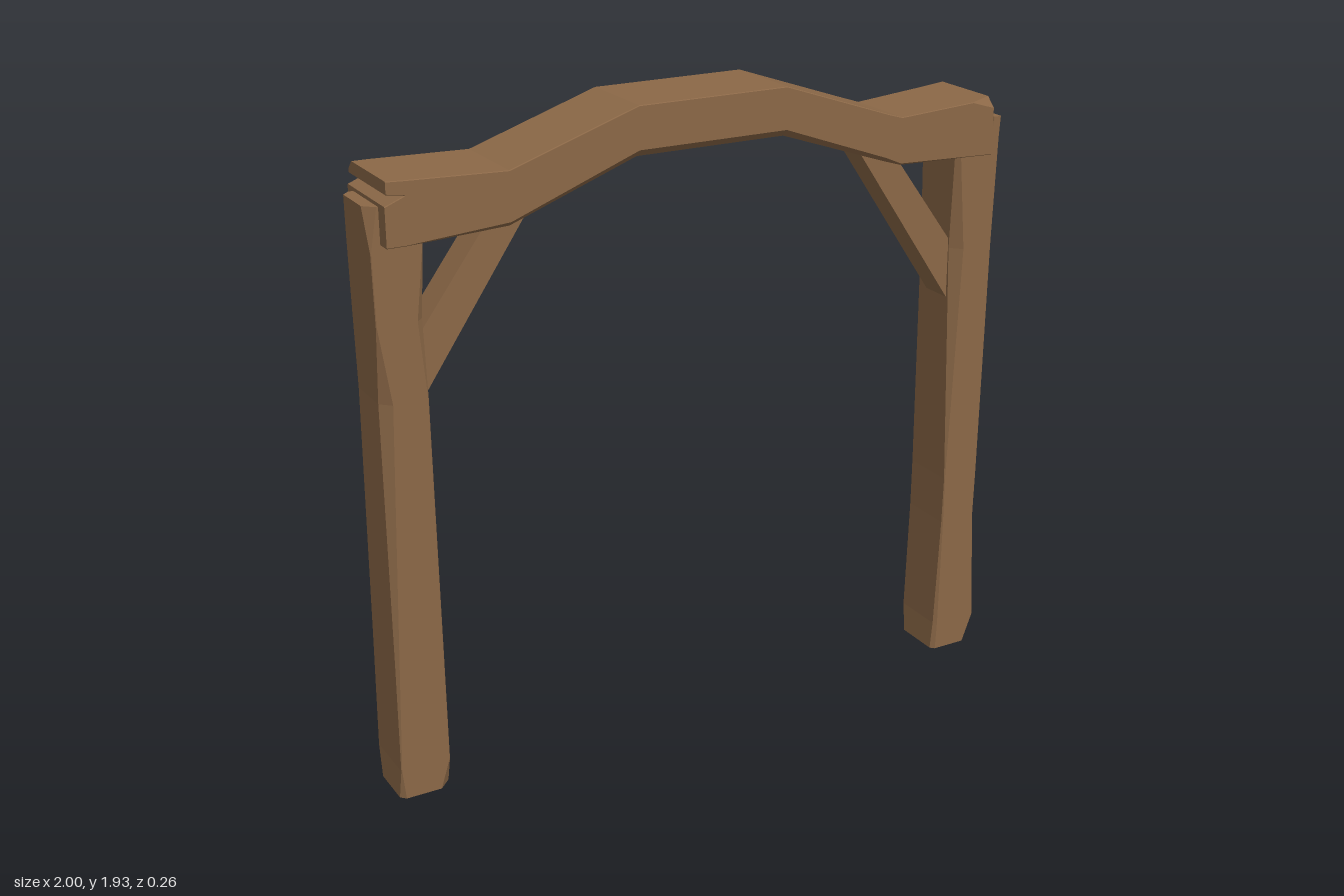
import * as THREE from 'three';

const wood = new THREE.MeshStandardMaterial({ color: 0x8b6847 });
wood.name = 'brown wood';
wood.flatShading = true;

// Rectangle a0..a1 by b0..b1 with its four corners cut by c (counter-clockwise)
function ring([t, a0, a1, b0, b1, c = []]) {
  const k = [0, 1, 2, 3].map(i => c[i] || 0.002);
  return [
    [a0, b0 + k[0]], [a0 + k[0], b0], [a1 - k[1], b0], [a1, b0 + k[1]],
    [a1, b1 - k[2]], [a1 - k[2], b1], [a0 + k[3], b1], [a0, b1 - k[3]],
  ].map(([a, b]) => [a, b, t]);
}

// Hewn timber: cut rectangles joined along y (a = z, b = x) or x (a = y, b = z)
function timber(name, axis, levels) {
  const place = ([a, b, t]) => (axis === 'y' ? [b, t, a] : [t, a, b]);
  const rings = levels.map(l => ring(l).map(place));
  const pos = [];
  const tri = (...p) => p.forEach(v => pos.push(...v));
  for (let l = 0; l < rings.length - 1; l++) {
    for (let i = 0; i < 8; i++) {
      const j = (i + 1) % 8, lo = rings[l], hi = rings[l + 1];
      tri(lo[i], lo[j], hi[j]);
      tri(lo[i], hi[j], hi[i]);
    }
  }
  const first = rings[0], last = rings[rings.length - 1];
  for (let i = 1; i < 7; i++) {
    tri(first[0], first[i + 1], first[i]);
    tri(last[0], last[i], last[i + 1]);
  }
  const geo = new THREE.BufferGeometry();
  geo.setAttribute('position', new THREE.Float32BufferAttribute(pos, 3));
  geo.computeVertexNormals();
  const mesh = new THREE.Mesh(geo, wood);
  mesh.name = name;
  return mesh;
}

// Slanted brace between a post and the beam
function brace(name, side) {
  const pts = [[-0.9, 1.126], [-0.5, 1.715], [-0.605, 1.715], [-0.9, 1.315]].map(([x, y]) => new THREE.Vector2(x * -side, y));
  const geo = new THREE.ExtrudeGeometry(new THREE.Shape(pts), { depth: 0.1, bevelEnabled: false });
  geo.translate(0, 0, -0.05);
  const mesh = new THREE.Mesh(geo, wood);
  mesh.name = name;
  return mesh;
}

export function createModel() {
  const model = new THREE.Group();
  model.name = 'timberArch';
  const B = -0.09, F = 0.085;

  // Posts: corner cuts are back-min x, front-min x, front-max x, back-max x
  const rightPost = timber('rightPost', 'y', [
    [0.01, B, F, -1, -0.843, [0.03, 0.015, 0.035, 0.03]],
    [0.1, B, F, -0.996, -0.848, [0, 0, 0, 0.01]],
    [0.45, B, F, -0.992, -0.85, [0, 0.01, 0, 0.04]],
    [1.2, B, F, -0.986, -0.855, [0, 0.03, 0, 0.01]],
    [1.42, B, F, -0.99, -0.855, [0, 0, 0.02, 0]],
    [1.62, B, F, -0.993, -0.85],
    [1.74, B, F, -1, -0.85, [0.02, 0.03, 0, 0]],
  ]);

  const leftPost = new THREE.Group();
  leftPost.name = 'leftPost';
  leftPost.add(timber('leftPostShaft', 'y', [
    [0, B, F, 0.84, 1, [0.02, 0.012, 0.04, 0.03]],
    [0.09, B, F, 0.846, 0.996, [0, 0.01, 0, 0.025]],
    [0.45, B, F, 0.856, 0.976, [0, 0.004, 0, 0.035]],
    [0.6, B, F, 0.857, 0.979],
    [1.35, B, F, 0.853, 0.987, [0, 0.032, 0, 0]],
    [1.68, B, F, 0.845, 0.996, [0, 0.01, 0, 0.01]],
  ]));
  // Split top of the post
  leftPost.add(timber('innerSplit', 'y', [
    [1.68, B, F, 0.845, 0.963], [1.735, B, F, 0.845, 0.945],
  ]));
  leftPost.add(timber('outerSplit', 'y', [
    [1.68, B, F, 0.963, 0.996, [0, 0, 0, 0.01]], [1.745, B, F, 0.975, 1, [0, 0, 0, 0.02]],
  ]));

  // Bent beam: corner cuts are bottom-back, top-back, top-front, bottom-front
  const beam = new THREE.Group();
  beam.name = 'beam';
  const D = 0.13;
  beam.add(timber('bentBeam', 'x', [
    [-0.91, 1.64, 1.812, -D, D, [0, 0.015, 0, 0]],
    [-0.62, 1.65, 1.8, -D, D, [0, 0, 0, 0.012]],
    [-0.24, 1.785, 1.926, -D, D, [0, 0, 0, 0.02]],
    [0.22, 1.785, 1.926, -D, D, [0, 0, 0, 0.02]],
    [0.56, 1.67, 1.81, -D, D, [0, 0.003, 0, 0.012]],
    [0.61, 1.655, 1.795, -D, D, [0, 0.033, 0, 0.005]],
    [0.86, 1.648, 1.81, -D, D, [0, 0.012, 0, 0]],
    [0.935, 1.645, 1.815, -D, D, [0.01, 0.004, 0.03, 0]],
  ]));
  // Cracked end of the beam
  beam.add(timber('lowerLip', 'x', [
    [-0.965, 1.64, 1.75, -D, D], [-0.91, 1.64, 1.772, -D, D],
  ]));
  beam.add(timber('upperLip', 'x', [
    [-0.96, 1.78, 1.815, -D, D, [0, 0.025, 0, 0]], [-0.91, 1.772, 1.812, -D, D, [0, 0.015, 0, 0]],
  ]));

  model.add(rightPost, leftPost, beam, brace('rightBrace', -1), brace('leftBrace', 1));
  // Mirrored braces sit on opposite sides; the beam ties them together
  return model;
}
